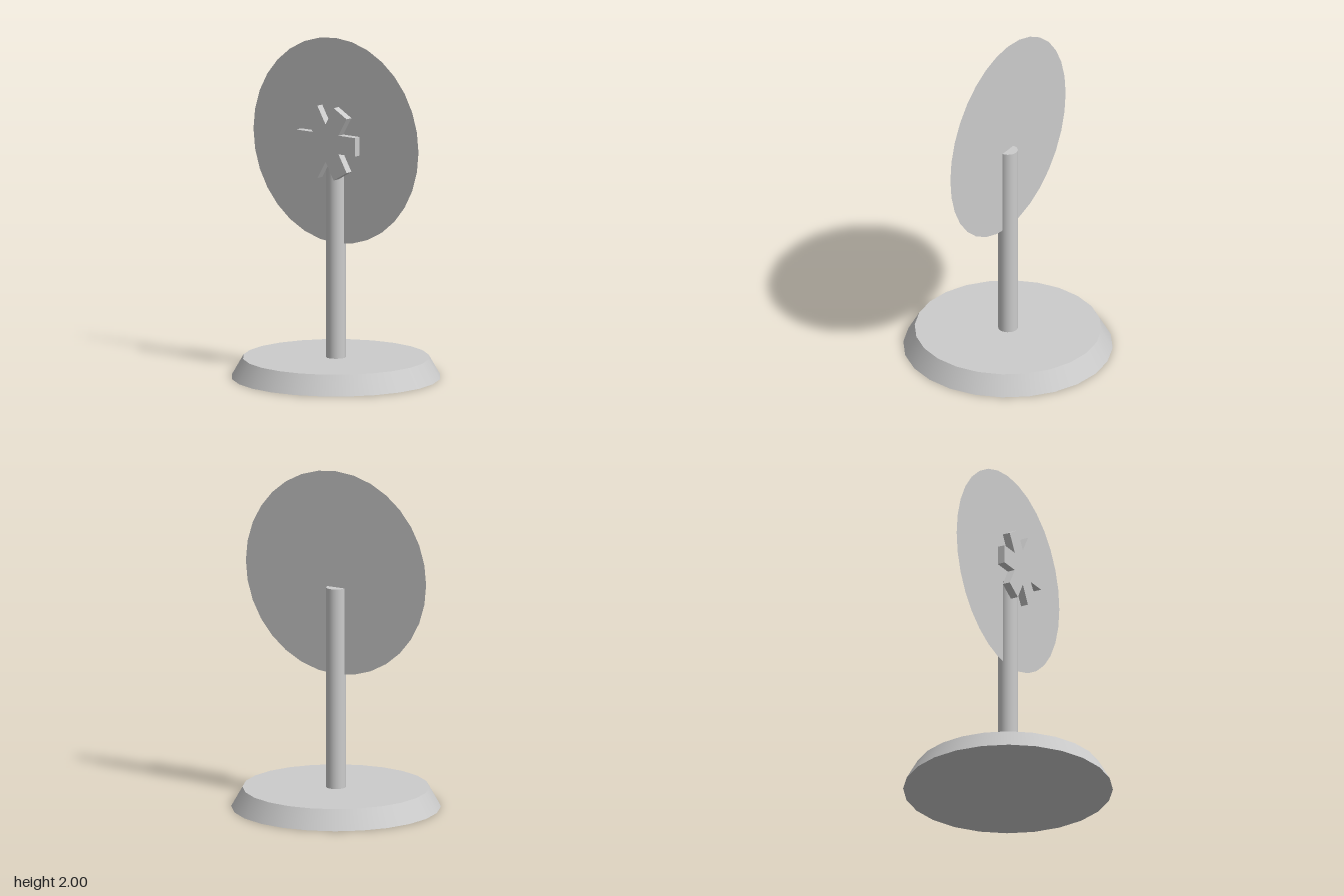
import * as THREE from 'three';

export function createModel() {
  const model = new THREE.Group();
  model.name = 'discOnStand';

  const grey = new THREE.MeshStandardMaterial({ color: 0xcccccc });
  grey.name = 'plain grey';
  const greySheet = new THREE.MeshStandardMaterial({ color: 0xcccccc, side: THREE.DoubleSide });
  greySheet.name = 'plain grey';

  const add = (name, geometry, material, y, z = 0) => {
    const mesh = new THREE.Mesh(geometry, material);
    mesh.name = name;
    mesh.position.set(0, y, z);
    model.add(mesh);
    return mesh;
  };

  const baseHeight = 0.116;
  const poleTop = 1.307;
  const discRadius = 0.606;
  const discY = 2 - discRadius;

  // Tapered round foot
  add('base', new THREE.CylinderGeometry(0.542, 0.608, baseHeight, 24), grey, baseHeight / 2);

  // Upright pole
  const poleLength = poleTop - baseHeight;
  add('pole', new THREE.CylinderGeometry(0.057, 0.057, poleLength, 24), grey, baseHeight + poleLength / 2);

  // Paper-thin disc passing through the pole's axis
  add('disc', new THREE.CircleGeometry(discRadius, 32), greySheet, discY);

  // Six-armed hub: each arm adds two tip corners and the notch after it
  const armLength = 0.215;
  const halfWidth = 0.055;
  const points = [];
  for (let i = 0; i < 6; i++) {
    const angle = (i * Math.PI) / 3;
    const centre = new THREE.Vector2();
    points.push(
      new THREE.Vector2(armLength, -halfWidth).rotateAround(centre, angle),
      new THREE.Vector2(armLength, halfWidth).rotateAround(centre, angle),
      new THREE.Vector2(halfWidth * 2, 0).rotateAround(centre, angle + Math.PI / 6),
    );
  }
  const hub = new THREE.ExtrudeGeometry(new THREE.Shape(points), { depth: 0.046, bevelEnabled: false });
  add('hub', hub, grey, discY, 0.053);

  return model;
}
